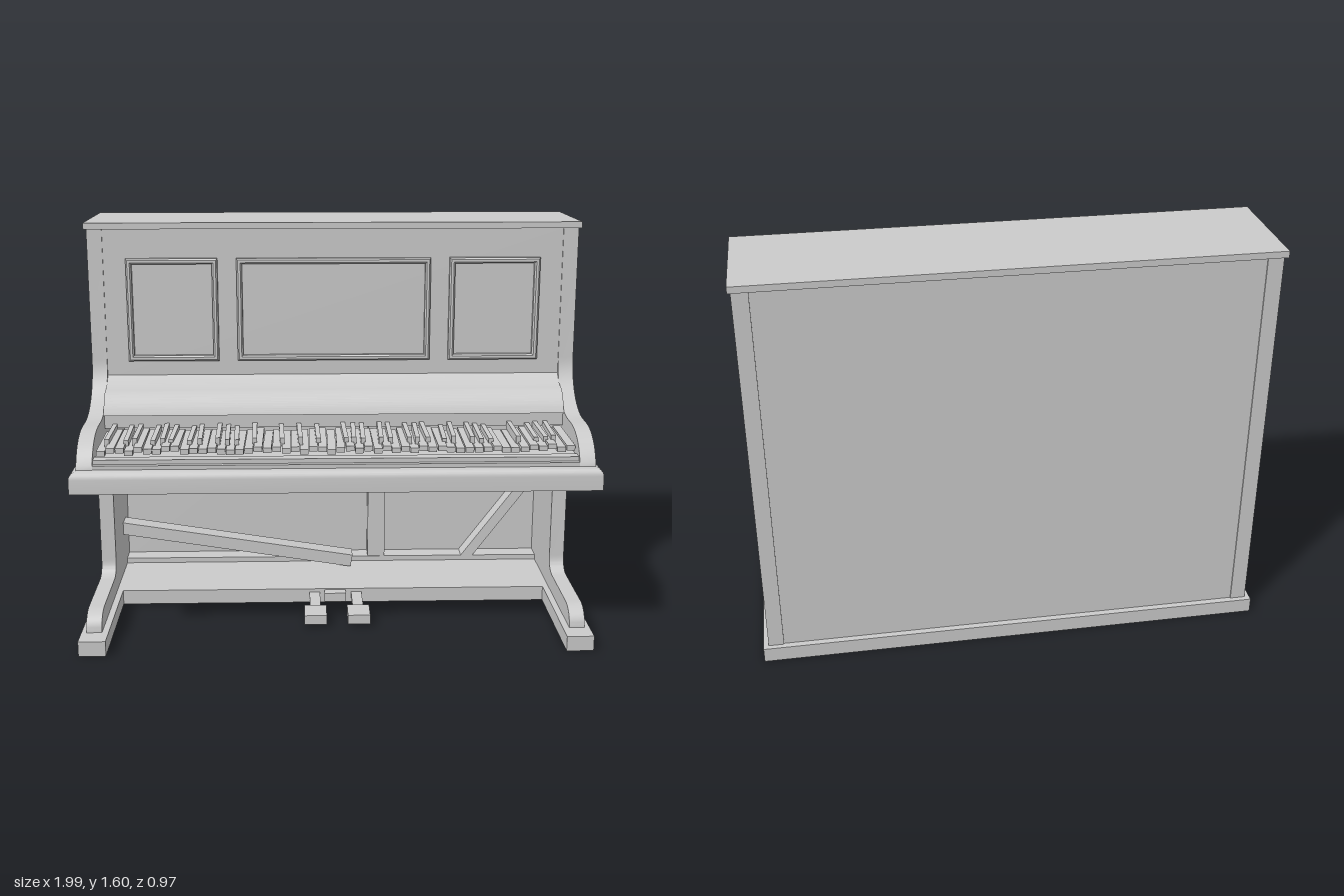
import * as THREE from 'three';
import { toCreasedNormals } from 'three/addons/utils/BufferGeometryUtils.js';

const material = new THREE.MeshStandardMaterial({ color: 0xcccccc });

export function createModel() {
  const model = new THREE.Group();

  function add(name, geometry, parent = model) {
    const mesh = new THREE.Mesh(geometry, material);
    mesh.name = name;
    parent.add(mesh);
    return mesh;
  }
  // Box given by its limits on each axis
  function box(name, [x0, x1], [y0, y1], [z0, z1], parent) {
    const mesh = add(name, new THREE.BoxGeometry(x1 - x0, y1 - y0, z1 - z0), parent);
    mesh.position.set((x0 + x1) / 2, (y0 + y1) / 2, (z0 + z1) / 2);
    return mesh;
  }
  // Profile drawn in (z, y), extruded from x0 to x1
  function profile(name, shape, x0, x1) {
    const geometry = new THREE.ExtrudeGeometry(shape, { depth: x1 - x0, bevelEnabled: false, curveSegments: 14 });
    geometry.rotateY(-Math.PI / 2).translate(x1, 0, 0);
    return add(name, toCreasedNormals(geometry, 0.5));
  }
  let seed = 7;
  const random = () => (seed = (seed * 16807) % 2147483647) / 2147483647;

  // Side walls with the scrolled arm above and the toe below
  const side = new THREE.Shape();
  side.moveTo(-0.465, 0.06);
  side.lineTo(0.4, 0.06);
  side.bezierCurveTo(0.4, 0.11, 0.36, 0.135, 0.31, 0.135);
  side.lineTo(0.035, 0.135);
  side.bezierCurveTo(-0.01, 0.135, -0.035, 0.155, -0.035, 0.2);
  side.lineTo(-0.035, 0.66);
  side.lineTo(0.45, 0.66);
  side.lineTo(0.45, 0.73);
  side.bezierCurveTo(0.42, 0.81, 0.35, 0.85, 0.24, 0.85);
  side.lineTo(0.2, 0.85);
  side.bezierCurveTo(0.07, 0.85, -0.035, 0.94, -0.035, 1.05);
  side.lineTo(-0.035, 1.57);
  side.lineTo(-0.465, 1.57);
  for (const s of [-1, 1]) {
    profile('sideWall', side, s > 0 ? 0.91 : -0.97, s > 0 ? 0.97 : -0.91);
    box('foot', s > 0 ? [0.885, 0.99] : [-0.99, -0.885], [0, 0.06], [-0.03, 0.485]);
  }

  // Case
  box('baseBoard', [-0.99, 0.99], [0, 0.06], [-0.485, -0.03]);
  box('lid', [-0.98, 0.98], [1.57, 1.595], [-0.483, -0.025]);
  box('backPanel', [-0.91, 0.91], [0.06, 1.57], [-0.46, -0.44]);
  box('frontPanel', [-0.91, 0.91], [0.975, 1.57], [-0.07, -0.04]);

  // Raised frames on the front panel
  for (const [x0, x1] of [[-0.82, -0.46], [-0.385, 0.385], [0.46, 0.82]]) {
    const y0 = 1.045, y1 = 1.455, w = 0.022;
    const frame = new THREE.Shape([[x0, y0], [x1, y0], [x1, y1], [x0, y1]].map(p => new THREE.Vector2(...p)));
    frame.holes.push(new THREE.Path([[x0 + w, y0 + w], [x0 + w, y1 - w], [x1 - w, y1 - w], [x1 - w, y0 + w]]
      .map(p => new THREE.Vector2(...p))));
    add('panelFrame', new THREE.ExtrudeGeometry(frame, {
      depth: 0.02, bevelThickness: 0.006, bevelSize: 0.006, bevelOffset: -0.006, bevelSegments: 1,
    })).position.z = -0.042;
  }

  // Sloping board behind the keys
  const fall = new THREE.Shape();
  fall.moveTo(-0.06, 0.8);
  fall.lineTo(0.1, 0.8);
  fall.lineTo(0.1, 0.85);
  fall.lineTo(0.12, 0.855);
  fall.quadraticCurveTo(0.1, 0.91, 0.065, 0.935);
  fall.lineTo(0.05, 0.94);
  fall.quadraticCurveTo(-0.01, 0.95, -0.04, 0.985);
  fall.lineTo(-0.06, 0.985);
  profile('fallboard', fall, -0.91, 0.91);

  // Key bed, its upper edge rounded on all sides
  const bed = new THREE.BoxGeometry(1, 1, 1, 1, 7, 1);
  const pos = bed.attributes.position;
  for (let i = 0; i < pos.count; i++) {
    const row = Math.round((pos.getY(i) + 0.5) * 7);
    const a = row < 1 ? 0 : (row - 1) / 6 * Math.PI / 2;
    const inset = 0.03 * (1 - Math.cos(a));
    pos.setXYZ(i,
      Math.sign(pos.getX(i)) * (0.995 - inset),
      row < 1 ? 0.645 : 0.7 + 0.03 * Math.sin(a),
      pos.getZ(i) > 0 ? 0.48 - inset : -0.068 + inset * 0.4);
  }
  add('keyBed', toCreasedNormals(bed, 0.6));
  box('keySlip', [-0.91, 0.91], [0.73, 0.762], [0.382, 0.425]);
  box('keySlipLedge', [-0.91, 0.91], [0.73, 0.745], [0.425, 0.445]);
  box('keyFrame', [-0.91, 0.91], [0.73, 0.755], [0.06, 0.37]);

  // Worn keyboard: keys sit unevenly, some dark keys are missing
  const keyboard = new THREE.Group();
  keyboard.name = 'keyboard';
  model.add(keyboard);
  const pitch = 1.81 / 52;
  for (let i = 0; i < 52; i++) {
    const x = -0.905 + (i + 0.5) * pitch;
    const dy = random() * 0.014;
    const white = box('whiteKey', [x - pitch * 0.46, x + pitch * 0.46], [0.765 + dy, 0.785 + dy], [0.1, 0.377], keyboard);
    white.rotation.x = (random() - 0.5) * 0.05;
    white.rotation.y = (random() - 0.5) * 0.02;
    const octave = i % 7;
    if (octave === 1 || octave === 4 || i === 51 || random() < 0.12) continue;
    const bx = x + pitch / 2, by = random() * 0.012;
    const black = box('blackKey', [bx - 0.009, bx + 0.009], [0.785, 0.806 + by], [0.1, 0.315], keyboard);
    black.rotation.x = random() * 0.03;
    black.rotation.y = (random() - 0.5) * 0.07;
  }

  // Timbers inside the open lower case
  const plank = (name, [xa, ya], [xb, yb], width, z0, z1) => {
    const mesh = add(name, new THREE.BoxGeometry(Math.hypot(xb - xa, yb - ya), width, z1 - z0));
    mesh.position.set((xa + xb) / 2, (ya + yb) / 2, (z0 + z1) / 2);
    mesh.rotation.z = Math.atan2(yb - ya, xb - xa);
  };
  box('sill', [-0.91, 0.91], [0.06, 0.082], [-0.44, -0.36]);
  box('innerPost', [0.16, 0.235], [0.06, 1.57], [-0.44, -0.365]);
  plank('fallenPlank', [-0.915, 0.249], [0.085, 0.09], 0.053, -0.36, -0.28);
  plank('diagonalBrace', [0.58, 0.05], [0.92, 0.505], 0.042, -0.44, -0.36);

  // Pedals
  box('pedalBlock', [-0.04, 0.05], [0.018, 0.055], [-0.03, 0.01]);
  for (const x of [-0.08, 0.095]) {
    box('pedalArm', [x - 0.022, x + 0.022], [0.025, 0.045], [-0.03, 0.15]);
    box('pedalPad', [x - 0.045, x + 0.045], [0.015, 0.053], [0.13, 0.24]);
  }
  return model;
}
